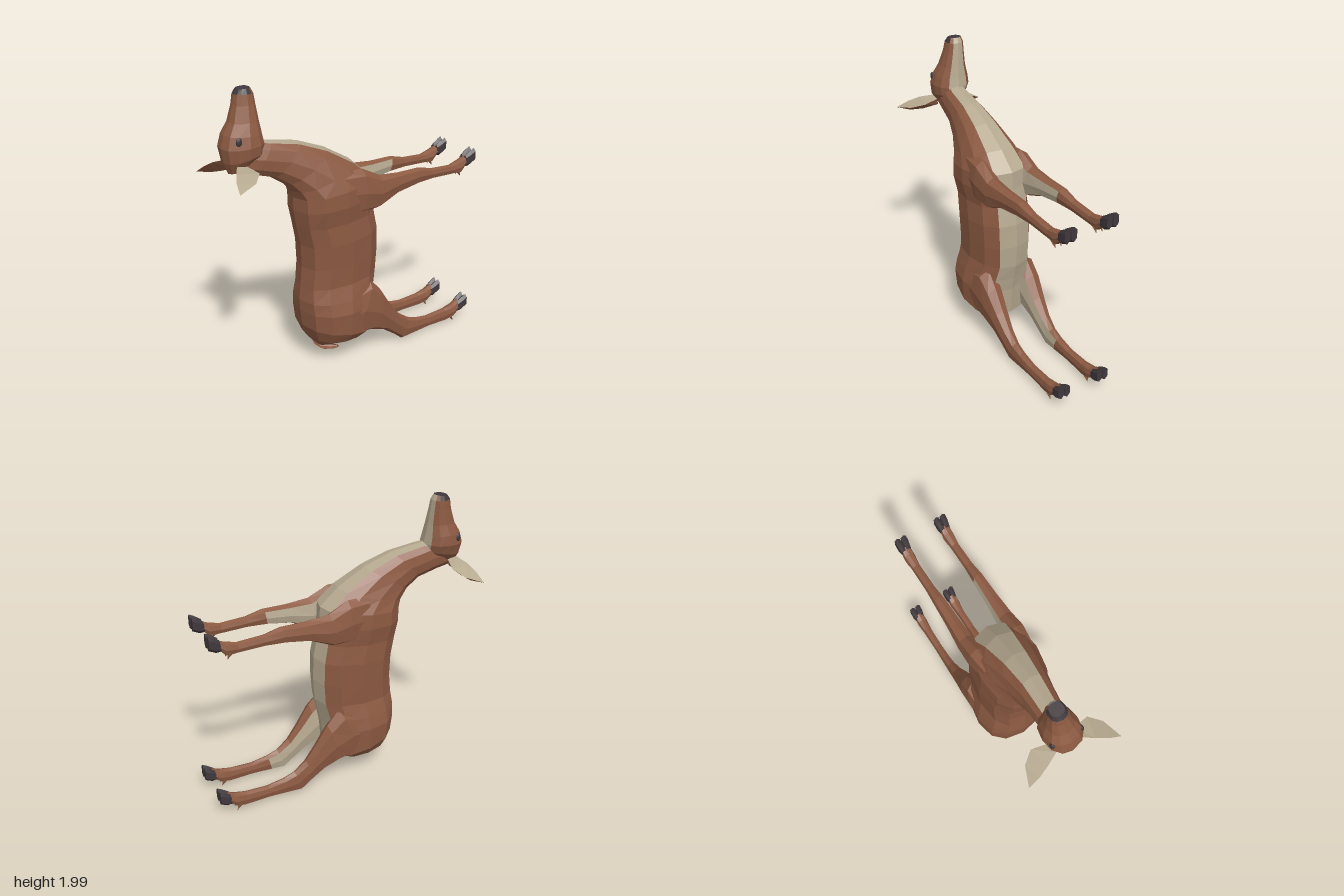
import * as THREE from 'three';

const material = (name, color) => {
  const m = new THREE.MeshStandardMaterial({ color, flatShading: true });
  m.name = name;
  return m;
};

export function createModel() {
  const brown = material('brown coat', 0x8c5a42);
  const cream = material('cream underside', 0xb5a88f);
  const dark = material('dark horn', 0x40383c);
  const model = new THREE.Group();
  model.name = 'deer';
  const MID = 0.04; // centre line of the trunk

  // Collects triangles by material and makes one mesh for each colour
  function patches(name) {
    const sets = new Map();
    const tri = (mat, ...pts) => {
      if (!sets.has(mat)) sets.set(mat, []);
      for (const p of pts) sets.get(mat).push(...p);
    };
    const finish = () => {
      const group = new THREE.Group();
      group.name = name;
      for (const [mat, pos] of sets) {
        const geo = new THREE.BufferGeometry();
        geo.setAttribute('position', new THREE.Float32BufferAttribute(pos, 3));
        geo.computeVertexNormals();
        const mesh = new THREE.Mesh(geo, mat);
        mesh.name = `${name} ${mat.name}`;
        group.add(mesh);
      }
      model.add(group);
    };
    return { tri, finish };
  }

  // Skin over rings; row = [backZ, backY, bellyZ, bellyY, halfWidth, centreX]
  function loft(name, rows, sides, colour, startCap = brown, endCap = brown) {
    const { tri, finish } = patches(name);
    const soft = (v) => Math.sign(v) * Math.abs(v) ** 0.82;
    const rings = rows.map(([dz, dy, vz, vy, w, cx]) =>
      Array.from({ length: sides }, (_, j) => {
        const t = (j / sides) * Math.PI * 2;
        const c = soft(Math.cos(t)) / 2;
        return [cx + w * soft(Math.sin(t)), (dy + vy) / 2 + (dy - vy) * c, (dz + vz) / 2 + (dz - vz) * c];
      }));
    const centre = ([dz, dy, vz, vy, , cx]) => [cx, (dy + vy) / 2, (dz + vz) / 2];
    const last = rows.length - 1;
    for (let j = 0; j < sides; j++) {
      const k = (j + 1) % sides;
      const t = ((j + 0.5) / sides) * Math.PI * 2;
      for (let i = 0; i < last; i++) {
        const mat = colour(i, Math.cos(t), Math.sin(t));
        tri(mat, rings[i][j], rings[i][k], rings[i + 1][k]);
        tri(mat, rings[i][j], rings[i + 1][k], rings[i + 1][j]);
      }
      tri(startCap, centre(rows[0]), rings[0][k], rings[0][j]);
      tri(endCap, centre(rows[last]), rings[last][j], rings[last][k]);
    }
    finish();
  }

  // Trunk and neck, from rump to throat
  loft('trunk', [
    [0.27, 0.11, 0.08, 0.13, 0.07, MID],
    [0.35, 0.2, -0.04, 0.15, 0.19, MID],
    [0.39, 0.3, -0.11, 0.19, 0.24, MID],
    [0.405, 0.42, -0.13, 0.4, 0.25, MID],
    [0.41, 0.5, -0.15, 0.5, 0.23, MID],
    [0.4, 0.6, -0.18, 0.62, 0.2, MID],
    [0.385, 0.74, -0.19, 0.78, 0.205, MID],
    [0.39, 0.9, -0.185, 0.95, 0.21, MID],
    [0.42, 1.04, -0.16, 1.08, 0.2, MID],
    [0.44, 1.16, -0.14, 1.2, 0.22, MID],
    [0.44, 1.25, -0.13, 1.32, 0.215, MID],
    [0.46, 1.3, 0, 1.435, 0.18, MID],
    [0.51, 1.36, 0.2, 1.55, 0.14, 0.035],
    [0.6, 1.42, 0.4, 1.625, 0.11, 0.025],
    [0.74, 1.46, 0.6, 1.66, 0.095, 0.01],
    [0.84, 1.48, 0.66, 1.67, 0.085, 0],
  ], 12, (i, c) => (c < (i < 1 ? -0.2 : -0.9) ? cream : brown), cream);

  // Head, from nape to nose
  loft('head', [
    [0.88, 1.49, 0.68, 1.55, 0.06, 0.005],
    [0.905, 1.56, 0.64, 1.61, 0.11, 0],
    [0.915, 1.65, 0.635, 1.66, 0.127, -0.01],
    [0.89, 1.73, 0.645, 1.72, 0.115, -0.015],
    [0.845, 1.8, 0.655, 1.8, 0.088, -0.02],
    [0.81, 1.9, 0.665, 1.9, 0.068, -0.03],
    [0.797, 1.965, 0.672, 1.965, 0.06, -0.035],
    [0.775, 1.995, 0.69, 2, 0.045, -0.038],
  ], 12, (i, c) => {
    if (i === 6 && c > -0.5) return dark;
    return c < -0.9 ? cream : brown;
  }, brown, dark);

  // Tail
  loft('tail', [
    [0.31, 0.17, 0.22, 0.17, 0.05, MID],
    [0.29, 0.11, 0.22, 0.13, 0.045, MID],
    [0.24, 0.065, 0.2, 0.105, 0.035, 0.05],
    [0.17, 0.05, 0.16, 0.08, 0.025, 0.07],
    [0.12, 0.05, 0.12, 0.065, 0.012, 0.08],
  ].map(([a, b, c, d, w, x]) => [a, b, c, d, w, x]), 8, (i, c) => (c < -0.6 ? cream : brown));

  // Leg rows: the last value is the distance from the centre line
  const hindLeg = [
    [0.1, 0.52, 0.22, 0.22, 0.08, 0.15],
    [-0.07, 0.58, 0.1, 0.2, 0.085, 0.155],
    [-0.16, 0.48, -0.08, 0.18, 0.075, 0.158],
    [-0.25, 0.34, -0.2, 0.14, 0.06, 0.156],
    [-0.33, 0.235, -0.3, 0.07, 0.047, 0.155],
    [-0.42, 0.17, -0.37, 0.012, 0.038, 0.155],
    [-0.5, 0.14, -0.47, 0.02, 0.034, 0.155],
    [-0.62, 0.118, -0.62, 0.03, 0.03, 0.155],
    [-0.78, 0.125, -0.8, 0.025, 0.032, 0.155],
    [-0.87, 0.14, -0.86, 0.04, 0.04, 0.155],
    [-0.92, 0.165, -0.91, 0.075, 0.036, 0.155],
  ];
  const foreLeg = [
    [0.15, 1.4, 0.15, 1.1, 0.06, 0.14],
    [0, 1.4, 0, 1.09, 0.07, 0.15],
    [-0.14, 1.33, -0.12, 1.1, 0.062, 0.155],
    [-0.3, 1.315, -0.28, 1.17, 0.05, 0.155],
    [-0.48, 1.315, -0.46, 1.2, 0.042, 0.155],
    [-0.6, 1.285, -0.6, 1.21, 0.032, 0.155],
    [-0.78, 1.275, -0.8, 1.205, 0.031, 0.155],
    [-0.87, 1.3, -0.86, 1.2, 0.04, 0.155],
    [-0.92, 1.32, -0.91, 1.255, 0.036, 0.155],
  ];

  for (const s of [1, -1]) {
    const side = s > 0 ? 'left' : 'right';
    for (const [part, rows, y, creamEnd] of [['Hind', hindLeg, 0, 6], ['Fore', foreLeg, 1.17, 4]]) {
      const placed = rows.map((r) => [...r.slice(0, 5), MID + s * r[5]]);
      loft(`${side}${part}Leg`, placed, 8,
        (i, c, n) => (i < creamEnd && n * s < -0.6 ? cream : brown));
      // Two toes and two dewclaws on each foot
      for (const e of [1, -1]) {
        const x = MID + s * 0.155;
        loft(`${side}${part}Hoof`, [
          [-0.905, y + 0.155, -0.895, y + 0.075, 0.019, x + e * 0.018],
          [-0.95, y + 0.185, -0.93, y + 0.075, 0.023, x + e * 0.023],
          [-0.98, y + 0.2, -0.98, y + 0.1, 0.023, x + e * 0.024],
        ], 6, () => dark, dark, dark);
        const claw = new THREE.Mesh(new THREE.ConeGeometry(0.016, 0.05, 5), brown);
        claw.name = `${side}${part}Dewclaw`;
        claw.position.set(x + e * 0.022, y + 0.032, -0.85);
        claw.rotation.x = Math.PI + 0.5;
        model.add(claw);
      }
    }

    // Ear: cream hollow between two rims, brown shell meeting at a keel
    const lower = s > 0 ? 0 : 0.04;
    const place = (list) => list.map(([x, y, z], i) => [s * x, y - lower * i / 3, z - lower * i / 3]);
    const tip = [0.323, 1.465, 0.975];
    const rimA = place([[0.085, 1.54, 0.79], [0.2, 1.525, 0.77], [0.275, 1.495, 0.84], tip]);
    const rimB = place([[0.085, 1.55, 0.86], [0.165, 1.535, 0.91], [0.24, 1.505, 0.95], tip]);
    const keel = place([[0.07, 1.49, 0.81], [0.17, 1.465, 0.85], [0.25, 1.455, 0.9], tip]);
    const ear = patches(`${side}Ear`);
    for (const [a, b, mat] of [[rimA, rimB, cream], [rimB, keel, brown], [keel, rimA, brown]]) {
      for (let i = 0; i < 3; i++) {
        const quad = [a[i], b[i], b[i + 1], a[i + 1]];
        if (s < 0) quad.reverse();
        ear.tri(mat, quad[0], quad[1], quad[2]);
        ear.tri(mat, quad[0], quad[2], quad[3]);
      }
    }
    ear.finish();

    // Eye
    const eye = new THREE.Mesh(new THREE.SphereGeometry(1, 10, 8), dark);
    eye.name = `${side}Eye`;
    eye.scale.set(0.014, 0.03, 0.021);
    eye.position.set(-0.013 + s * 0.102, 1.7, 0.84);
    model.add(eye);
  }
  return model;
}
